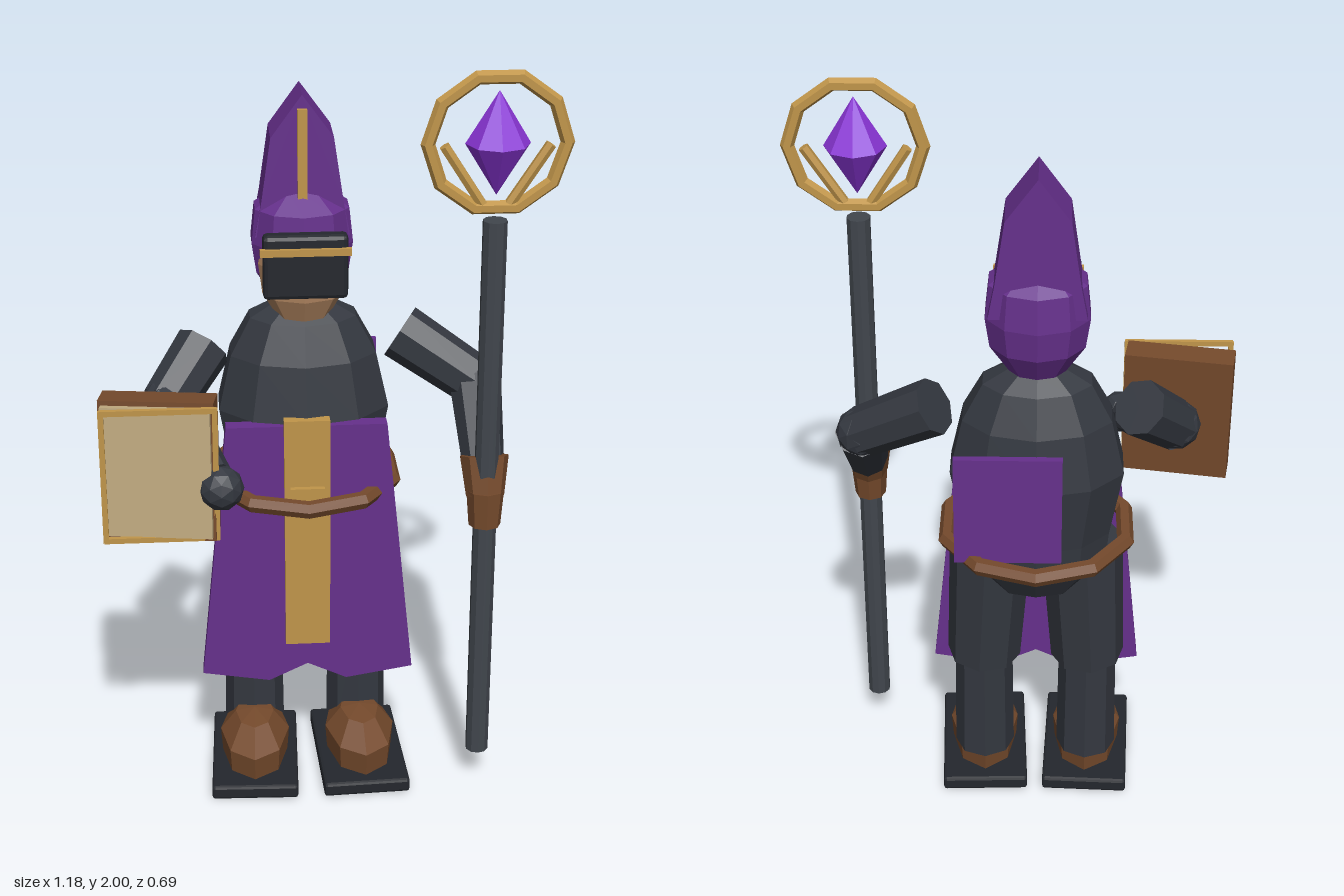
import * as THREE from 'three';
import { RoundedBoxGeometry } from 'three/addons/geometries/RoundedBoxGeometry.js';

const mat = (color) => new THREE.MeshStandardMaterial({ color, flatShading: true });
const cloth = mat(0x343840), purple = mat(0x66308c), gold = mat(0xc0954a), brown = mat(0x754a2c),
  skin = mat(0xb08560), black = mat(0x24272d), steel = mat(0x41464d), page = mat(0xc0aa80), crystal = mat(0x8a35d6);
const V = (x, y, z) => new THREE.Vector3(x, y, z);
const CX = -0.06; // body axis

export function createModel() {
  const root = new THREE.Group();

  const add = (name, geo, material, x = 0, y = 0, z = 0, parent = root) => {
    const m = new THREE.Mesh(geo, material);
    m.name = name;
    m.position.set(x, y, z);
    parent.add(m);
    return m;
  };
  const box = (name, material, w, h, d, x, y, z, parent) =>
    add(name, new THREE.BoxGeometry(w, h, d), material, x, y, z, parent);
  const lathe = (pts, sides) => new THREE.LatheGeometry(pts.map(([r, y]) => new THREE.Vector2(r, y)), sides);
  // tapered rod from a to b
  const limb = (name, material, a, b, ra, rb, sides = 8, parent = root) => {
    const m = add(name, new THREE.CylinderGeometry(rb, ra, a.distanceTo(b), sides), material, 0, 0, 0, parent);
    m.position.copy(a).add(b).multiplyScalar(0.5);
    m.quaternion.setFromUnitVectors(V(0, 1, 0), b.clone().sub(a).normalize());
    return m;
  };
  // flat outline given depth, spanning z0..z0+depth
  const plate = (name, material, pts, depth, z0) => {
    const shape = new THREE.Shape(pts.map(([x, y]) => new THREE.Vector2(x, y)));
    return add(name, new THREE.ExtrudeGeometry(shape, { depth, bevelEnabled: false }), material, CX, 0, z0);
  };

  // torso and hips
  add('torso', lathe([[0, 0.66], [0.12, 0.68], [0.19, 0.76], [0.2, 0.86], [0.235, 1.05], [0.2, 1.2],
    [0.145, 1.3], [0.08, 1.335], [0, 1.335]], 10), cloth, CX, 0, -0.095).scale.z = 0.72;

  // legs, boots and soles
  for (const s of [-1, 1]) {
    const leg = new THREE.Group();
    leg.name = s > 0 ? 'leftLeg' : 'rightLeg';
    leg.position.set(CX + s * 0.145, 0, 0);
    leg.rotation.y = s * 0.04;
    root.add(leg);
    limb('thigh', cloth, V(-s * 0.02, 0.8, -0.08), V(0, 0.42, -0.07), 0.11, 0.1, 8, leg);
    add('knee', new THREE.IcosahedronGeometry(0.075, 1), cloth, 0, 0.43, -0.07, leg);
    limb('shin', cloth, V(0, 0.44, -0.07), V(0, 0.1, -0.065), 0.078, 0.082, 8, leg);
    const boot = lathe([[0, 0], [0.95, 0], [1, 0.5], [0.55, 0.92], [0, 1]], 8);
    add('boot', boot, brown, 0, 0.04, 0.025, leg).scale.set(0.095, 0.135, 0.165);
    add('sole', new RoundedBoxGeometry(0.235, 0.04, 0.39, 1, 0.008), black, 0, 0.02, 0.022, leg);
  }

  // robe panels, stripe and belt
  plate('frontPanel', purple, [[-0.21, 1.05], [-0.285, 0.32], [-0.105, 0.29], [0, 0.34], [0.105, 0.29],
    [0.285, 0.32], [0.21, 1.05]], 0.04, 0.035);
  box('backPanel', purple, 0.275, 0.31, 0.02, 0.012, 1.005, -0.255);
  box('panelStripe', gold, 0.12, 0.66, 0.03, CX, 0.74, 0.075);
  const belt = new THREE.TorusGeometry(0.245, 0.023, 6, 10);
  belt.rotateZ(Math.PI / 2).rotateX(Math.PI / 2);
  add('belt', belt, brown, CX, 0.85, -0.085);
  box('buckle', gold, 0.09, 0.065, 0.02, CX, 0.85, 0.095);

  // head, hood and pointed hat
  add('head', lathe([[0, 1.31], [0.07, 1.31], [0.105, 1.37], [0.115, 1.45], [0.1, 1.54], [0, 1.59]], 8),
    skin, CX, 0, -0.06).scale.z = 0.83;
  const hood = lathe([[0, 1.34], [0.075, 1.345], [0.125, 1.42], [0.137, 1.5], [0.127, 1.59], [0.06, 1.635], [0, 1.645]], 10);
  add('hood', hood, purple, CX, 0, -0.112).scale.z = 0.92;
  plate('hat', purple, [[-0.122, 1.52], [0.122, 1.52], [0.105, 1.61], [0.08, 1.78], [0, 1.89],
    [-0.08, 1.78], [-0.105, 1.61]], 0.135, -0.195);
  box('hatTrim', gold, 0.025, 0.24, 0.02, CX, 1.735, -0.055);

  // visor
  add('visor', new RoundedBoxGeometry(0.215, 0.17, 0.045, 1, 0.012), black, CX, 1.48, 0.047);
  box('visorBand', gold, 0.23, 0.018, 0.015, CX, 1.524, 0.073);

  // arms
  const arm = (name, shoulder, elbow, wrist) => {
    const g = new THREE.Group();
    g.name = name;
    root.add(g);
    limb('upperArm', cloth, shoulder, elbow, 0.075, 0.068, 8, g);
    add('elbow', new THREE.IcosahedronGeometry(0.068, 1), cloth, elbow.x, elbow.y, elbow.z, g);
    limb('forearm', cloth, elbow, wrist, 0.07, 0.055, 8, g);
    return g;
  };
  const left = arm('leftArm', V(0.2, 1.23, -0.12), V(0.395, 1.11, -0.05), V(0.4, 0.93, 0.11));
  limb('glove', brown, V(0.4, 0.79, 0.155), V(0.4, 0.89, 0.15), 0.042, 0.05, 8, left);
  limb('gloveCuff', brown, V(0.4, 0.87, 0.15), V(0.4, 0.97, 0.115), 0.05, 0.064, 8, left);
  const right = arm('rightArm', V(-0.32, 1.215, -0.09), V(-0.42, 1.1, 0.02), V(-0.31, 0.99, 0.25));
  add('hand', new THREE.IcosahedronGeometry(0.058, 1), cloth, -0.288, 0.98, 0.28, right);

  // book held in the right hand
  const book = new THREE.Group();
  book.name = 'book';
  book.position.set(-0.44, 1.02, 0.225);
  book.rotation.set(-0.06, -0.157, 0);
  root.add(book);
  box('cover', brown, 0.29, 0.37, 0.075, 0, 0, 0, book);
  box('pages', page, 0.275, 0.345, 0.02, 0, 0, 0.045, book);
  const frame = new THREE.Group();
  frame.name = 'bookFrame';
  frame.position.set(-0.44, 1.02, 0.285);
  root.add(frame);
  for (const s of [-1, 1]) {
    box('frameSide', gold, 0.014, 0.36, 0.012, s * 0.14, 0, 0, frame);
    box('frameEdge', gold, 0.29, 0.014, 0.012, 0, s * 0.175, 0, frame);
  }

  // staff with ring, prongs and crystal
  const staff = new THREE.Group();
  staff.name = 'staff';
  staff.position.set(0.4, 0, 0.155);
  root.add(staff);
  limb('shaft', steel, V(0, 0.1, 0), V(0, 1.625, 0), 0.031, 0.031, 10, staff);
  add('ring', new THREE.TorusGeometry(0.17, 0.018, 6, 10), gold, 0, 1.82, 0, staff);
  for (const s of [-1, 1])
    limb('prong', gold, V(s * 0.03, 1.66, 0), V(s * 0.13, 1.815, 0), 0.014, 0.014, 6, staff);
  add('crystal', lathe([[0, 1.69], [0.08, 1.82], [0, 1.95]], 8), crystal, 0, 0, 0, staff);

  return root;
}
